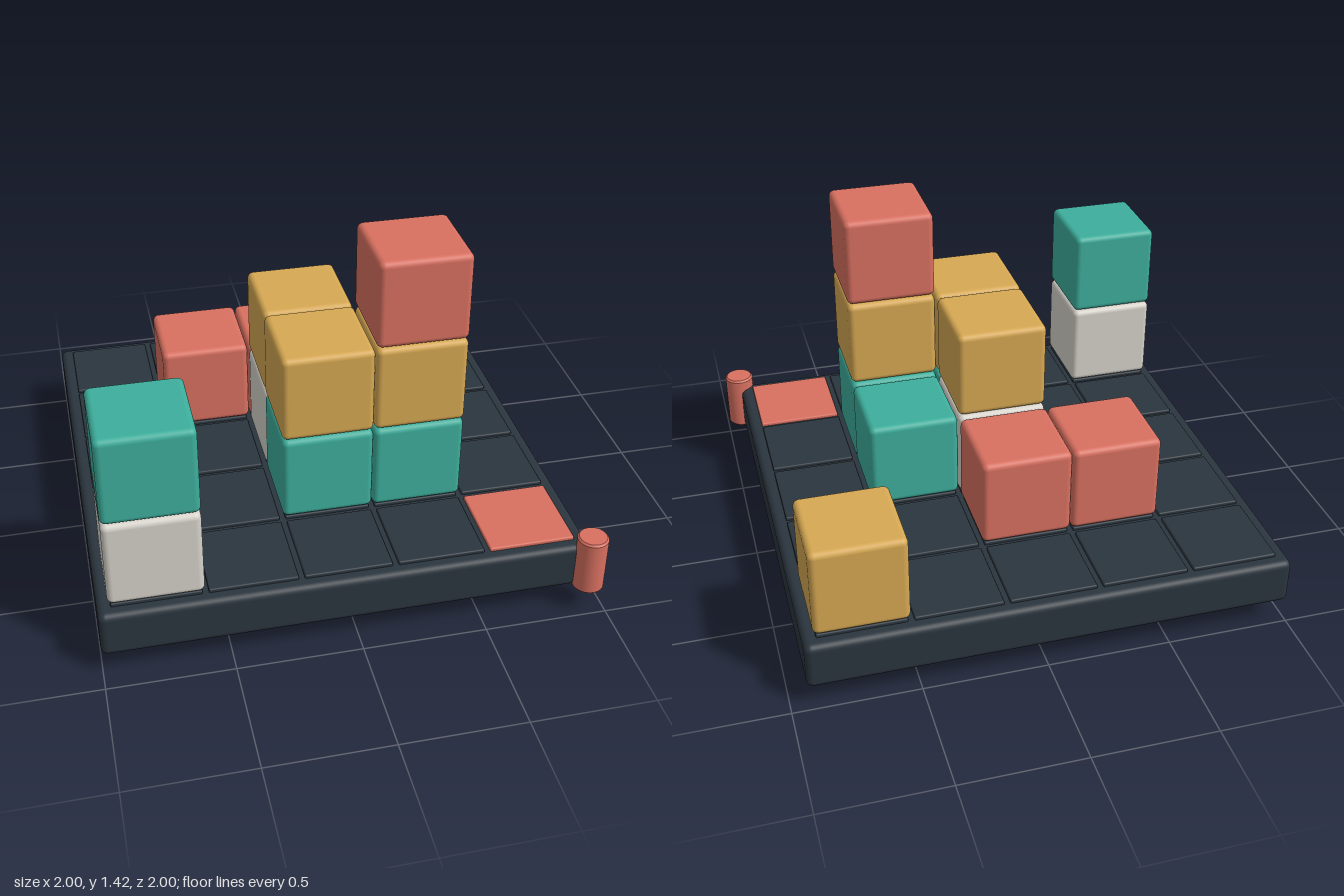
import * as THREE from 'three';
import { RoundedBoxGeometry } from 'three/addons/geometries/RoundedBoxGeometry.js';
import { toCreasedNormals } from 'three/addons/utils/BufferGeometryUtils.js';

const CENTRE = -0.0325; // board centre in x and z
const PITCH = 0.371; // grid spacing
const TILE_TOP = 0.309;

function material(name, color) {
  const m = new THREE.MeshStandardMaterial({ color });
  m.name = name;
  return m;
}

export function createModel() {
  const model = new THREE.Group();
  model.name = 'blockBoard';

  const slate = material('slate', 0x2b353e);
  const coral = material('coral', 0xd87060);
  const teal = material('teal', 0x3dae9c);
  const ochre = material('ochre', 0xd6a853);
  const ivory = material('ivory', 0xd6d2ca);

  function add(name, geometry, mat, x, y, z) {
    const mesh = new THREE.Mesh(geometry, mat);
    mesh.name = name;
    mesh.position.set(x, y, z);
    model.add(mesh);
  }
  const cell = (i) => CENTRE + (i - 2) * PITCH;

  // Board and the smaller foot below it
  add('board', new RoundedBoxGeometry(1.935, 0.195, 1.935, 4, 0.028), slate, CENTRE, 0.1975, CENTRE);
  add('foot', new RoundedBoxGeometry(1.63, 0.11, 1.63, 3, 0.015), slate, CENTRE, 0.055, CENTRE);

  // Five by five tiles, with one marked corner
  const tile = new RoundedBoxGeometry(0.347, 0.03, 0.347, 2, 0.006);
  for (let i = 0; i < 5; i++) {
    for (let j = 0; j < 5; j++) {
      const marked = i === 4 && j === 4;
      add(marked ? 'markedTile' : 'tile', tile, marked ? coral : slate, cell(i), TILE_TOP - 0.015, cell(j));
    }
  }

  // Stacks of cubes: column, row, colours from the bottom up
  const stacks = [
    [4, 0, [ochre]],
    [1, 1, [coral]],
    [2, 1, [coral]],
    [2, 2, [ivory, ochre]],
    [3, 2, [teal]],
    [2, 3, [teal, ochre]],
    [3, 3, [teal, ochre, coral]],
    [0, 4, [ivory, teal]],
  ];
  const cube = new RoundedBoxGeometry(0.368, 0.368, 0.368, 4, 0.025);
  for (const [i, j, colours] of stacks) {
    colours.forEach((mat, level) => {
      add('cube', cube, mat, cell(i), TILE_TOP + 0.186 + level * PITCH, cell(j));
    });
  }

  // Corner peg with slightly softened rims
  const profile = [[0, 0], [0.055, 0], [0.0625, 0.008], [0.0625, 0.237], [0.055, 0.245], [0, 0.245]]
    .map(([r, y]) => new THREE.Vector2(r, y));
  const peg = toCreasedNormals(new THREE.LatheGeometry(profile, 32), 0.6);
  add('cornerPeg', peg, coral, 0.9375, 0.1, 0.9375);

  return model;
}
